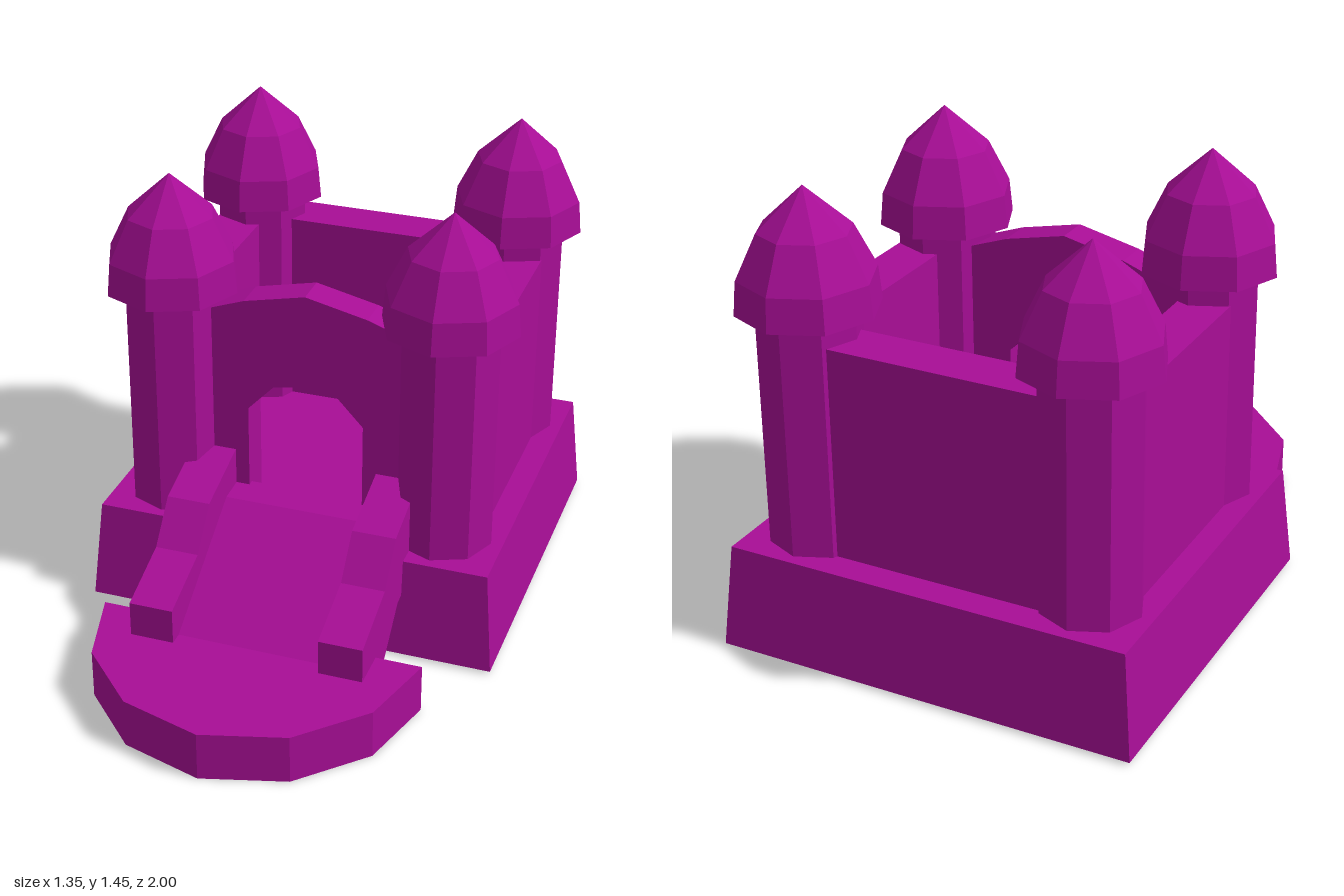
import * as THREE from 'three';

const material = new THREE.MeshStandardMaterial({ color: 0xa80e96, flatShading: true });

function add(parent, name, geometry, x = 0, y = 0, z = 0) {
  const mesh = new THREE.Mesh(geometry, material);
  mesh.name = name;
  mesh.position.set(x, y, z);
  parent.add(mesh);
  return mesh;
}

const polygon = (points) => new THREE.Shape(points.map(([a, b]) => new THREE.Vector2(a, b)));

const extrude = (points, depth) =>
  new THREE.ExtrudeGeometry(polygon(points), { depth, bevelEnabled: false });

// Profile given as [z, y], extruded to a width centred on x = 0
const sideProfile = (points, width) =>
  extrude(points, width).translate(0, 0, -width / 2).rotateY(-Math.PI / 2);

// Mirrors the right half of an outline, listed from the outer end to the middle
const mirrored = (half) => [
  ...half,
  ...half.filter(([x]) => x !== 0).reverse().map(([x, y]) => [-x, y]),
];

export function createModel() {
  const castle = new THREE.Group();
  castle.name = 'bouncyCastle';

  // Tapered base
  const base = new THREE.BoxGeometry(1.35, 0.33, 1.23);
  const p = base.attributes.position;
  for (let i = 0; i < p.count; i++) {
    if (p.getY(i) > 0) {
      p.setX(i, Math.sign(p.getX(i)) * 0.645);
      p.setZ(i, Math.sign(p.getZ(i)) * 0.588);
    }
  }
  add(castle, 'base', base, 0, 0.175, -0.385);

  // Four octagonal towers with pointed domes
  const shaft = new THREE.CylinderGeometry(0.157, 0.157, 0.78, 8);
  const dome = new THREE.LatheGeometry(
    [[0, 1.08], [0.216, 1.08], [0.206, 1.185], [0.14, 1.32], [0, 1.45]]
      .map(([r, y]) => new THREE.Vector2(r, y)), 8);
  for (const x of [-0.45, 0.45]) {
    for (const z of [0.013, -0.782]) {
      const tower = new THREE.Group();
      tower.name = 'tower';
      tower.position.set(x, 0, z);
      add(tower, 'towerShaft', shaft, 0, 0.69, 0);
      add(tower, 'towerRoof', dome);
      castle.add(tower);
    }
  }

  // Side and back walls
  for (const s of [-1, 1]) {
    add(castle, 'sideWall', new THREE.BoxGeometry(0.155, 0.69, 0.79), s * 0.487, 0.665, -0.385);
  }
  add(castle, 'backWall', new THREE.BoxGeometry(0.9, 0.69, 0.16), 0, 0.665, -0.8);

  // Front wall with an arched top and a doorway
  const top = mirrored([[0.45, 0.33], [0.45, 0.98], [0.31, 1.035], [0.2, 1.075], [0, 1.12]]);
  const door = mirrored([[0.19, 0.33], [0.19, 0.7], [0.105, 0.79], [0, 0.81]]).reverse();
  add(castle, 'frontWall', extrude([...top, ...door], 0.11), 0, 0, -0.06);

  // Slide with a raised rail on each side
  const slide = sideProfile([
    [0.03, 0.42], [0.03, 0.25], [0.22, 0.24], [0.4, 0.12], [0.56, 0.1], [0.56, 0.16], [0.14, 0.415],
  ], 0.48);
  add(castle, 'slide', slide);
  const rail = sideProfile([
    [0.04, 0.545], [0.04, 0.25], [0.25, 0.215], [0.39, 0.085], [0.48, 0.06], [0.605, 0.05],
    [0.605, 0.275], [0.39, 0.348], [0.285, 0.473],
  ], 0.14);
  for (const s of [-1, 1]) add(castle, 'slideRail', rail, s * 0.305, 0, 0);

  // Faceted half-round landing pad
  const pad = extrude(
    mirrored([[0.522, -0.473], [0.45, -0.733], [0.26, -0.925], [0, -1]]), 0.16);
  add(castle, 'landingPad', pad.rotateX(-Math.PI / 2));

  return castle;
}
